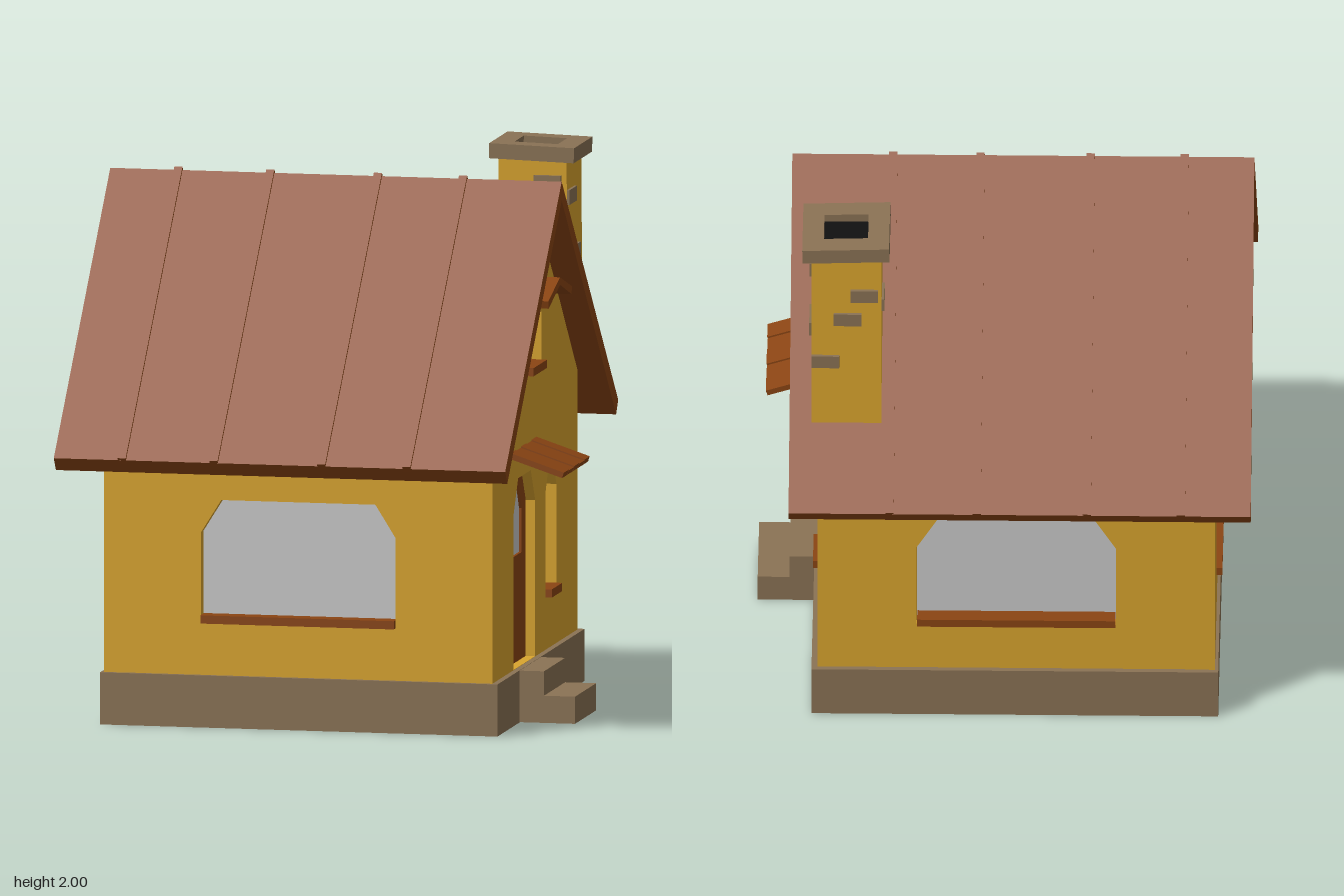
import * as THREE from 'three';

const mat = (color) => new THREE.MeshStandardMaterial({ color, flatShading: true });
const PLASTER = mat(0xdaa52e), WOOD = mat(0x8b4513), STONE = mat(0x8b7355), GLASS = mat(0xcccccc), SOOT = mat(0x111111);
const T = 0.06; // wall thickness
const APEX = 1.87, EAVE = 1.17, FLOOR = 0.19;

const shapeOf = (pts) => new THREE.Shape(pts.map(([a, b]) => new THREE.Vector2(a, b)));

function add(parent, name, geometry, material) {
  const mesh = new THREE.Mesh(geometry, material);
  mesh.name = name;
  parent.add(mesh);
  return mesh;
}

// box given by its limits on each axis
function box(parent, name, material, x0, x1, y0, y1, z0, z1) {
  const mesh = add(parent, name, new THREE.BoxGeometry(x1 - x0, y1 - y0, z1 - z0), material);
  mesh.position.set((x0 + x1) / 2, (y0 + y1) / 2, (z0 + z1) / 2);
  return mesh;
}

// flat shape, from depth z0 to z1
function slab(shape, z0, z1) {
  return new THREE.ExtrudeGeometry(shape, { depth: z1 - z0, bevelEnabled: false }).translate(0, 0, z0);
}

// (z, y) profile swept along x
function sweepX(profile, x0, x1) {
  return slab(shapeOf(profile.map(([z, y]) => [-z, y])), x0, x1).rotateY(Math.PI / 2);
}

// half profile [outer ridge, outer eave, inner eave, inner ridge] mirrored into a chevron
function chevron([a, b, c, d]) {
  return [a, b, c, d, [-c[0], c[1]], [-b[0], b[1]]];
}

// opening with clipped upper corners
function arch({ u0, u1, y0, y1, cw, ch }) {
  return [[u0, y0], [u1, y0], [u1, y1 - ch], [u1 - cw, y1], [u0 + cw, y1], [u0, y1 - ch]];
}

// wall with openings; local x runs along the wall, local z points outwards
function wall(parent, name, outline, openings, angle, x, z) {
  const group = new THREE.Group();
  group.name = name;
  group.rotation.y = angle;
  group.position.set(x, 0, z);
  parent.add(group);
  const shape = shapeOf(outline);
  for (const o of openings) shape.holes.push(new THREE.Path(arch(o).map(([a, b]) => new THREE.Vector2(a, b))));
  add(group, name + 'Plaster', slab(shape, -T, 0), PLASTER);
  for (const o of openings) {
    const leaf = shapeOf(arch(o));
    if (o.door) {
      // door leaf with its own pane
      leaf.holes.push(new THREE.Path(arch(o.door).map(([a, b]) => new THREE.Vector2(a, b))));
      add(group, 'door', slab(leaf, -T, -0.035), WOOD);
      add(group, 'doorPane', slab(shapeOf(arch(o.door)), -T, -0.045), GLASS);
    } else {
      add(group, 'windowPane', slab(leaf, -T, -0.04), GLASS);
      box(group, 'windowSill', WOOD, o.u0 + 0.002, o.u1 - 0.002, o.y0, o.y0 + 0.03, -0.05, 0.022);
    }
    if (o.canopy) {
      const c = chevron([[0, 1.578], [0.2, 1.518], [0.193, 1.49], [0, 1.551]]);
      const canopy = add(group, 'windowCanopy', slab(shapeOf(c), -0.01, 0.095), WOOD);
      canopy.position.x = (o.u0 + o.u1) / 2;
    }
  }
}

export function createModel() {
  const house = new THREE.Group();
  house.name = 'house';

  // stone base and entrance steps
  box(house, 'foundation', STONE, -0.78, 0.69, 0, FLOOR, -0.75, 0.72);
  box(house, 'upperStep', STONE, 0.6, 0.78, 0.001, FLOOR - 0.001, -0.012, 0.345);
  box(house, 'lowerStep', STONE, 0.6, 0.895, 0.001, 0.1, -0.012, 0.345);

  // walls
  const rect = (a, b) => [[a, FLOOR], [b, FLOOR], [b, EAVE + 0.015], [a, EAVE + 0.015]];
  const gable = (a, b) => [[a, FLOOR], [b, FLOOR], [b, EAVE], [0, APEX], [a, EAVE]];
  const wide = { y0: 0.38, y1: 0.83, cw: 0.075, ch: 0.12 };
  const attic = { u0: -0.11, u1: 0.12, y0: 1.23, y1: 1.53, cw: 0.04, ch: 0.095, canopy: true };
  wall(house, 'frontWall', rect(-0.765, 0.665), [{ u0: -0.41, u1: 0.31, ...wide }], 0, 0, 0.703);
  wall(house, 'backWall', rect(-0.665, 0.765), [{ u0: -0.31, u1: 0.41, ...wide }], Math.PI, 0, -0.73);
  wall(house, 'entranceWall', gable(-0.705, 0.732), [
    attic,
    { u0: 0.195, u1: 0.375, y0: 0.38, y1: 0.89, cw: 0.07, ch: 0.12 },
    {
      u0: -0.345, u1: 0.018, y0: FLOOR + 0.001, y1: 0.88, cw: 0.075, ch: 0.12,
      door: { u0: -0.28, u1: -0.05, y0: 0.58, y1: 0.83, cw: 0.05, ch: 0.09 },
    },
  ], Math.PI / 2, 0.668, 0);
  wall(house, 'sideWall', gable(-0.732, 0.705), [
    { ...attic, u0: -0.12, u1: 0.11 },
    { u0: -0.4, u1: 0.32, y0: 0.38, y1: 0.88, cw: 0.1, ch: 0.14 },
  ], -Math.PI / 2, -0.768, 0);

  // roof with raised battens
  const roof = chevron([[0, 1.928], [0.953, 1.0], [0.917, 0.952], [0, 1.86]]);
  add(house, 'roof', sweepX(roof, -0.9, 0.77), WOOD);
  const batten = chevron([[0, 1.94], [0.958, 1.008], [0.945, 0.988], [0, 1.915]]);
  for (const x of [-0.648, -0.308, 0.09, 0.405]) {
    add(house, 'roofBatten', sweepX(batten, x - 0.015, x + 0.015), WOOD);
  }

  // planked awning over the door
  const awning = new THREE.Group();
  awning.name = 'doorAwning';
  awning.position.set(0.655, 0.982, 0);
  awning.rotation.z = -0.32;
  house.add(awning);
  for (let i = 0; i < 5; i++) {
    const z = -0.038 + i * 0.088;
    box(awning, 'awningPlank', WOOD, 0, 0.218, -0.01, 0.011 - (i % 2) * 0.004, z, z + 0.084);
  }

  // chimney: shaft cut to the roof slope, cap with flue, scattered bricks
  const shaft = [[-0.46, 1.45], [-0.712, 1.2], [-0.697, 1.95], [-0.447, 1.95]];
  add(house, 'chimneyShaft', sweepX(shaft, 0.438, 0.69), PLASTER);
  const capShape = shapeOf([[-0.157, -0.155], [0.157, -0.155], [0.157, 0.155], [-0.157, 0.155]]);
  capShape.holes.push(new THREE.Path([[-0.08, -0.078], [-0.08, 0.078], [0.08, 0.078], [0.08, -0.078]]
    .map(([a, b]) => new THREE.Vector2(a, b))));
  const cap = add(house, 'chimneyCap', slab(capShape, 0, 0.055).rotateX(-Math.PI / 2), STONE);
  cap.position.set(0.565, 1.94, -0.575);
  cap.rotation.z = -0.03;
  box(house, 'flue', SOOT, 0.48, 0.65, 1.93, 1.965, -0.66, -0.49);
  for (const [z, y] of [[-0.513, 1.805], [-0.578, 1.592]]) {
    box(house, 'chimneyBrick', STONE, 0.67, 0.7, y - 0.027, y + 0.027, z - 0.062, z + 0.062);
  }
  box(house, 'chimneyBrick', STONE, 0.428, 0.46, 1.66, 1.71, -0.62, -0.51);
  for (const [x, y, z] of [[0.62, 1.86, -0.45], [0.53, 1.76, -0.452], [0.64, 1.5, -0.706], [0.56, 1.68, -0.702], [0.5, 1.78, -0.7]]) {
    box(house, 'chimneyBrick', STONE, x - 0.05, x + 0.05, y - 0.025, y + 0.025, z - 0.012, z + 0.012);
  }
  return house;
}
